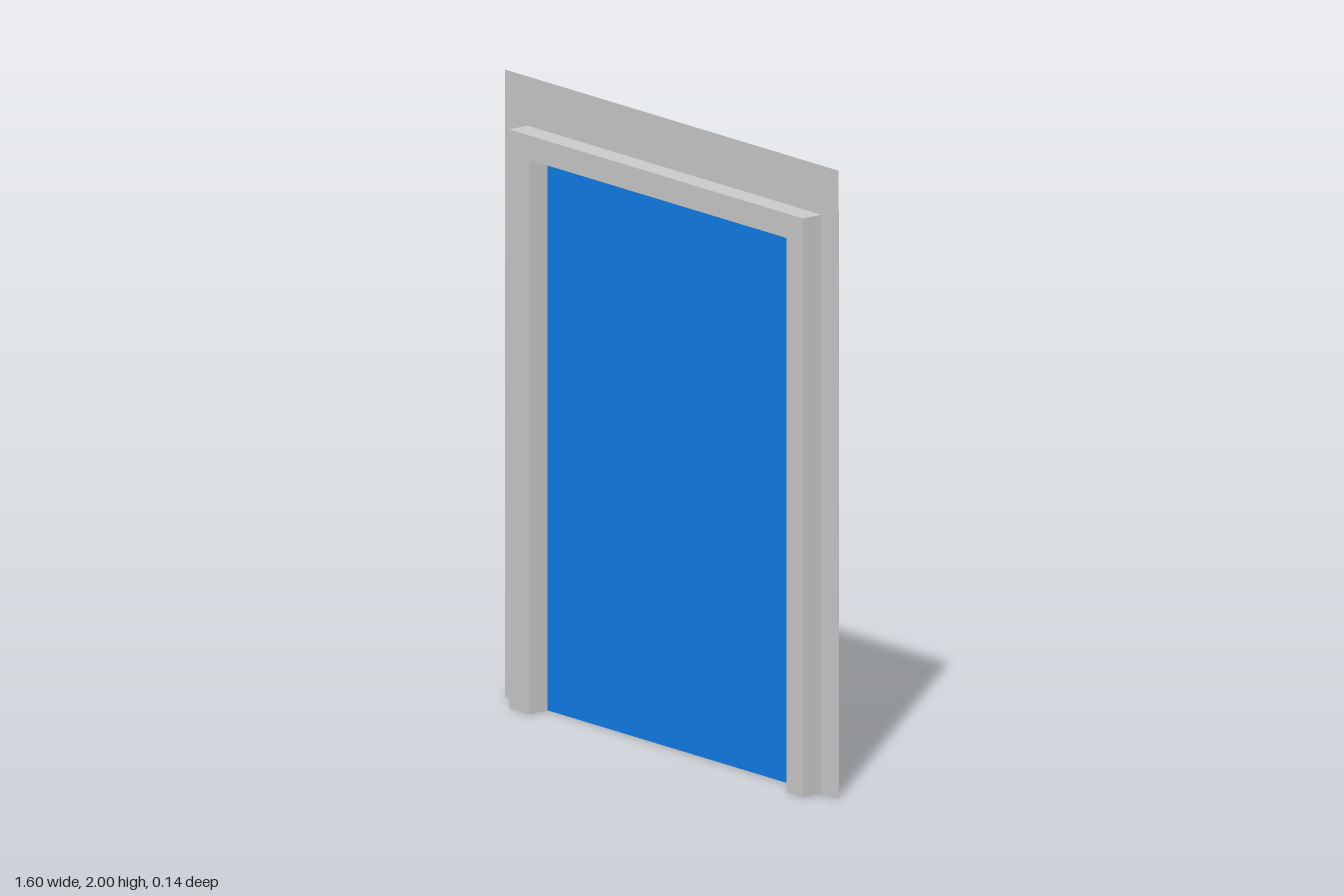
import * as THREE from 'three';

// Upside-down U: a rectangle with an opening that runs down to the floor
function archShape(left, right, top, innerLeft, innerRight, innerTop) {
  return new THREE.Shape([
    [left, 0], [innerLeft, 0], [innerLeft, innerTop], [innerRight, innerTop],
    [innerRight, 0], [right, 0], [right, top], [left, top],
  ].map(([x, y]) => new THREE.Vector2(x, y)));
}

export function createModel() {
  const group = new THREE.Group();
  const opening = { left: -0.595, right: 0.637, top: 1.765 };
  const depth = 0.145;

  const add = (name, geometry, color, side = THREE.FrontSide) => {
    const mesh = new THREE.Mesh(geometry, new THREE.MeshStandardMaterial({ color, side }));
    mesh.name = name;
    group.add(mesh);
    return mesh;
  };

  // Thin wall sheet around the doorway
  add('wall', new THREE.ShapeGeometry(
    archShape(-0.8, 0.8, 2, opening.left, opening.right, opening.top)),
  0xcccccc, THREE.DoubleSide);

  // Door frame projecting on both sides of the wall
  const frame = new THREE.ExtrudeGeometry(
    archShape(-0.692, 0.717, 1.843, opening.left, opening.right, opening.top),
    { depth, bevelEnabled: false });
  frame.translate(0, 0, -depth / 2);
  add('doorFrame', frame, 0xcccccc);

  // Blue panel filling the opening
  const panel = add('doorPanel',
    new THREE.PlaneGeometry(opening.right - opening.left, opening.top),
    0x107eea, THREE.DoubleSide);
  panel.position.set((opening.left + opening.right) / 2, opening.top / 2, 0);

  return group;
}
